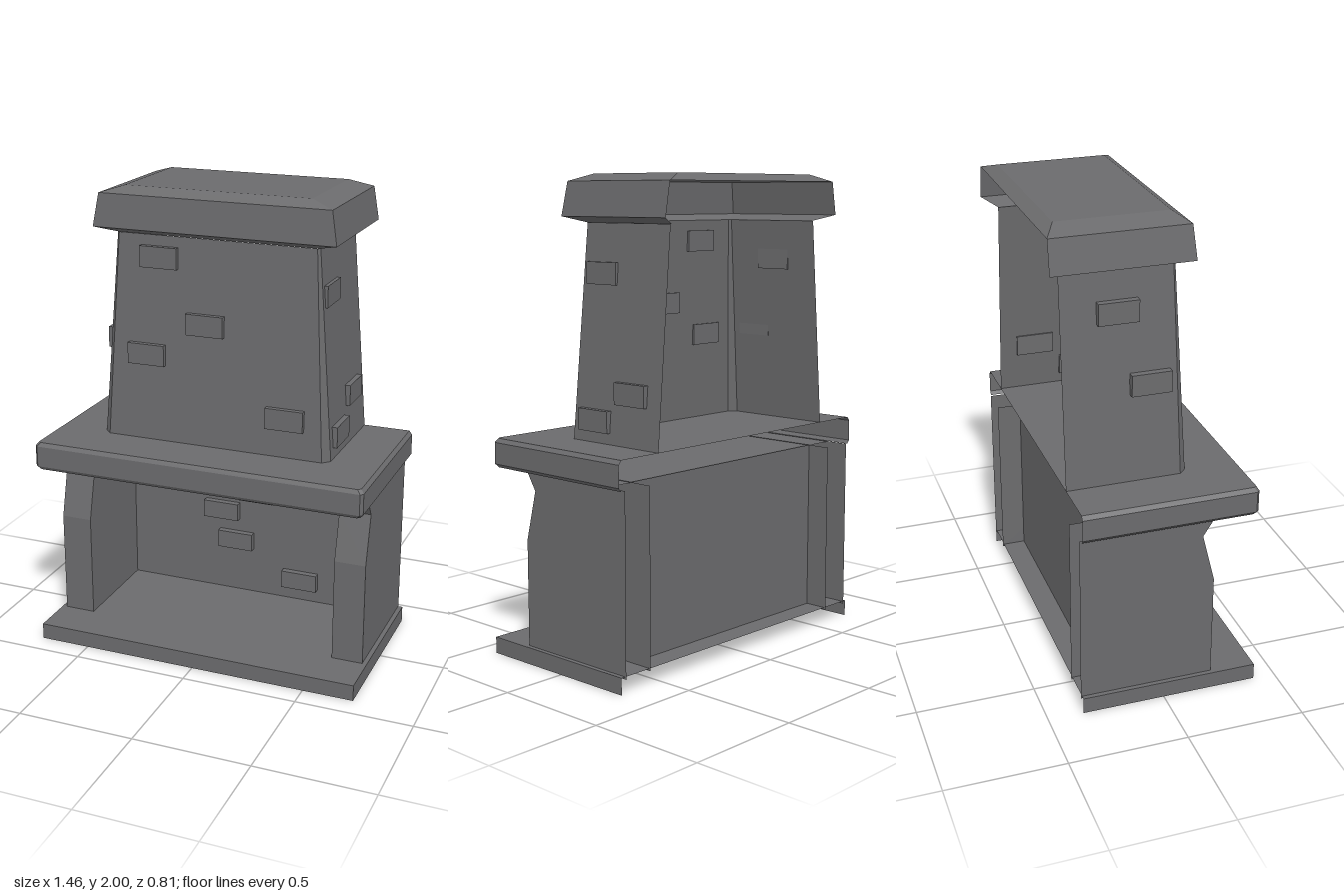
import * as THREE from 'three';

const stone = new THREE.MeshStandardMaterial({ color: 0x6b6b6d, side: THREE.DoubleSide });
stone.name = 'grey stone';

// Flat-shaded mesh from a list of polygons, each split as a fan
function panels(name, polys) {
  const pos = [];
  for (const p of polys)
    for (let i = 1; i < p.length - 1; i++) pos.push(...p[0], ...p[i], ...p[i + 1]);
  const g = new THREE.BufferGeometry();
  g.setAttribute('position', new THREE.Float32BufferAttribute(pos, 3));
  g.computeVertexNormals();
  const m = new THREE.Mesh(g, stone);
  m.name = name;
  return m;
}

// U-shaped section, open at the back; c cuts the front corners
function ring([y, x, zf, zb, c = 0]) {
  const half = c ? [[x, y, zb], [x, y, zf - c], [x - c, y, zf]] : [[x, y, zb], [x, y, zf]];
  return [...half, ...half.map(([a, b, d]) => [-a, b, d]).reverse()];
}

// Walls joining successive U sections, with an optional lid on the last one
function shell(name, sections, lid) {
  const rings = sections.map(ring);
  const polys = [];
  for (let k = 0; k < rings.length - 1; k++) {
    const a = rings[k], b = rings[k + 1];
    for (let i = 0; i < a.length - 1; i++) polys.push([a[i], b[i], b[i + 1], a[i + 1]]);
  }
  const top = rings[rings.length - 1];
  if (lid) polys.push([...top].reverse());
  return panels(name, polys);
}

function brick(name, w, h, d, x, y, z) {
  const m = new THREE.Mesh(new THREE.BoxGeometry(w, h, d), stone);
  m.name = name;
  m.position.set(x, y, z);
  return m;
}

export function createModel() {
  const group = new THREE.Group();
  group.name = 'fireplace';

  // Hearth slab, hollow underneath
  group.add(shell('hearth', [[0, 0.72, 0.405, -0.35], [0.07, 0.72, 0.405, -0.35]], true));

  // Side pillars: shaped profile (z, y), open at the back
  const profile = [[-0.355, 0.06], [0.215, 0.06], [0.215, 0.52], [0.162, 0.73], [0.21, 0.805], [-0.355, 0.805]];
  for (const s of [1, -1]) {
    const at = (x) => profile.map(([z, y]) => [s * x, y, z]);
    const o = at(0.7), n = at(0.565);
    const polys = [o, n];
    for (let i = 1; i < 4; i++) polys.push([o[i], o[i + 1], n[i + 1], n[i]]);
    group.add(panels(s > 0 ? 'leftPillar' : 'rightPillar', polys));
  }

  // Wall behind the fire
  group.add(panels('fireboxBackWall', [
    [[-0.565, 0.06, -0.25], [0.565, 0.06, -0.25], [0.565, 0.805, -0.25], [-0.565, 0.805, -0.25]],
  ]));

  // Mantel shelf with softened edges, and its underside
  group.add(shell('mantel', [
    [0.803, 0.715, 0.38, -0.35, 0.012],
    [0.818, 0.728, 0.39, -0.35, 0.012],
    [0.908, 0.728, 0.39, -0.35, 0.012],
    [0.925, 0.715, 0.38, -0.35, 0.012],
  ], true));
  group.add(panels('mantelUnderside', [
    [[-0.715, 0.803, -0.25], [0.715, 0.803, -0.25], [0.715, 0.803, 0.37], [-0.715, 0.803, 0.37]],
  ]));

  // Tapered chimney hood
  group.add(shell('chimneyHood', [
    [0.925, 0.512, 0.162, -0.35, 0.03],
    [1.805, 0.442, 0.122, -0.35, 0.01],
  ]));

  // Cap with flared lip and bevelled top
  const cap = [
    [1.805, 0.435, 0.12, -0.35],
    [1.83, 0.527, 0.175, -0.405],
    [1.97, 0.503, 0.163, -0.405],
    [2.0, 0.405, 0.112, -0.355],
  ];
  group.add(shell('chimneyCap', cap, true));
  const [, , [y2, x2, , z2], [y3, x3, , z3]] = cap;
  group.add(panels('capBackBevel', [[[-x2, y2, z2], [x2, y2, z2], [x3, y3, z3], [-x3, y3, z3]]]));

  // Raised bricks inside the firebox
  for (const [x, y] of [[-0.385, 0.665], [0.05, 0.57], [-0.12, 0.465], [-0.05, 0.325], [0.262, 0.172], [0.425, 0.665]])
    group.add(brick('fireboxBrick', 0.165, 0.08, 0.03, x, y, -0.234));

  // Raised bricks on the hood front
  for (const [x, y] of [[-0.248, 1.715], [-0.04, 1.448], [-0.303, 1.3], [0.318, 1.09]])
    group.add(brick('hoodFrontBrick', 0.165, 0.09, 0.03, x, y, 0.21 - y * 0.0455));

  // Raised bricks on the hood sides
  for (const [x, y, z] of [[0.455, 1.605, 0.008], [0.5, 1.135, -0.19], [0.51, 1.015, 0.008], [-0.467, 1.638, -0.12], [-0.494, 1.337, 0.008]])
    group.add(brick('hoodSideBrick', 0.03, 0.09, 0.167, x, y, z));

  return group;
}
